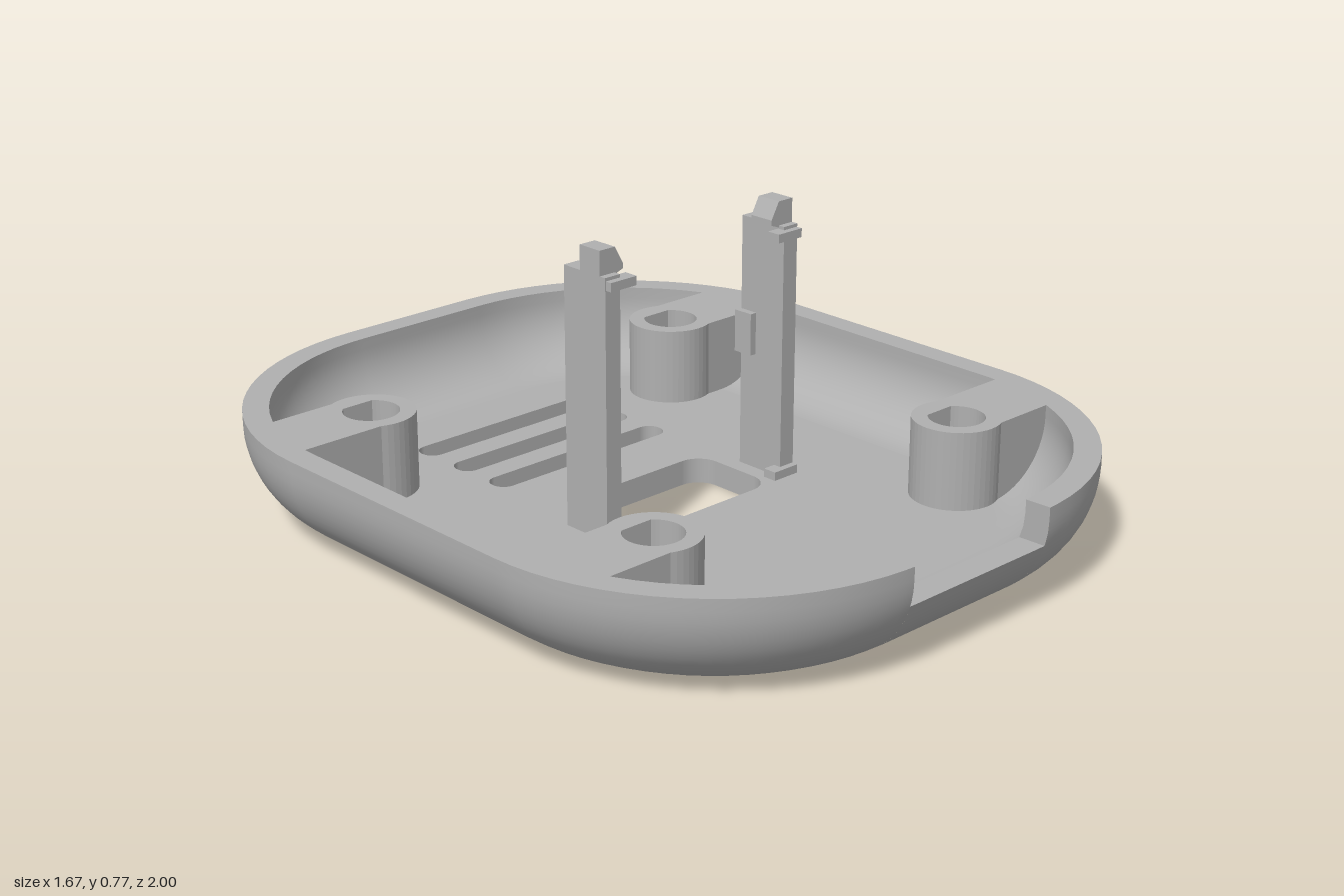
import * as THREE from 'three';
import { mergeGeometries } from 'three/addons/utils/BufferGeometryUtils.js';

// Outline: corner arc centres and radius; heights; fillet and wall sizes
const CX = 0.198, CZ = 0.365, R = 0.635;
const TOP = 0.265, FILLET = 0.235, WALL = 0.065, INNER = FILLET - WALL;
const NOTCH_Y = 0.17, NOTCH_ANGLE = 0.042;

// Surface through a grid of points, cols[i][j]
function grid(cols) {
  const n = cols[0].length, index = [];
  for (let i = 0; i < cols.length - 1; i++) {
    for (let j = 0; j < n - 1; j++) {
      const a = i * n + j, b = a + n;
      index.push(a, a + 1, b, b, a + 1, b + 1);
    }
  }
  const g = new THREE.BufferGeometry();
  g.setAttribute('position', new THREE.Float32BufferAttribute(cols.flat(2), 3));
  g.setIndex(index);
  g.computeVertexNormals();
  return g;
}

// Point on the outline at station s, moved inwards by d
const at = (s, d, y) => [
  s.x + (R - d) * Math.sin(s.t), y, s.z + (R - d) * Math.cos(s.t),
];

// Inset of the outer (r = FILLET) or inner (r = INNER) skin at height y
const inset = (r, y) => FILLET - Math.sqrt(r * r - Math.max(0, FILLET - y) ** 2);

// Wall section [inset, height] from the top edge down to the flat bottom
function section(r, top) {
  const start = top < FILLET ? Math.asin((FILLET - top) / r) : 0;
  const pts = top > FILLET ? [[FILLET - r, top]] : [];
  for (let k = 0; k <= 14; k++) {
    const a = start + (Math.PI / 2 - start) * k / 14;
    pts.push([FILLET - r * Math.cos(a), FILLET - r * Math.sin(a)]);
  }
  return pts;
}

// Inner skin, rim and outer skin along a run of stations
function wall(stations, top) {
  const outer = section(FILLET, top), inner = section(INNER, top);
  const sweep = (prof) => grid(stations.map((s) => prof.map(([d, y]) => at(s, d, y))));
  return [sweep(inner.slice().reverse()), sweep([inner[0], outer[0]]), sweep(outer)];
}

function roundRect(target, x, z, hx, hz, r) {
  target.absarc(x + hx - r, z + hz - r, r, 0, Math.PI / 2);
  target.absarc(x - hx + r, z + hz - r, r, Math.PI / 2, Math.PI);
  target.absarc(x - hx + r, z - hz + r, r, Math.PI, Math.PI * 1.5);
  target.absarc(x + hx - r, z - hz + r, r, Math.PI * 1.5, Math.PI * 2);
  target.closePath();
  return target;
}

// Extrude a shape drawn in x and z between two heights
function slab(shape, y0, y1) {
  const g = new THREE.ExtrudeGeometry(shape, { depth: y1 - y0, bevelEnabled: false, curveSegments: 18 });
  return g.rotateX(Math.PI / 2).translate(0, y1, 0);
}

export function createModel() {
  const model = new THREE.Group();
  const grey = new THREE.MeshStandardMaterial({ color: 0xb0b0b0 });
  grey.name = 'grey plastic';
  const add = (parent, name, geometry) => {
    const mesh = new THREE.Mesh(geometry, grey);
    mesh.name = name;
    parent.add(mesh);
    return mesh;
  };

  // Rounded wall, running from one side of the front notch to the other
  const stations = [];
  [[1, 1], [1, -1], [-1, -1], [-1, 1]].forEach(([sx, sz], q) => {
    for (let k = 0; k <= 18; k++) {
      const t = (q + k / 18) * Math.PI / 2;
      stations.push({
        x: sx * CX, z: sz * CZ,
        t: Math.min(Math.max(t, NOTCH_ANGLE), Math.PI * 2 - NOTCH_ANGLE),
      });
    }
  });
  const notch = [
    { x: -CX, z: CZ, t: -NOTCH_ANGLE }, { x: -CX, z: CZ, t: 0 },
    { x: CX, z: CZ, t: 0 }, { x: CX, z: CZ, t: NOTCH_ANGLE },
  ];
  const heights = [TOP, FILLET, 0.2, NOTCH_Y];
  const cheek = (s, skins) => grid(skins.map((r) => heights.map((y) => at(s, inset(r, y), y))));
  add(model, 'wall', mergeGeometries(wall(stations, TOP)));
  add(model, 'notchedFrontWall', mergeGeometries([
    ...wall(notch, NOTCH_Y),
    cheek(notch[3], [INNER, FILLET]),
    cheek(notch[0], [FILLET, INNER]),
  ]));

  // Floor with a cable opening and three vent slots
  const floor = roundRect(new THREE.Shape(), 0, 0, CX + R - FILLET, CZ + R - FILLET, R - FILLET);
  floor.holes.push(roundRect(new THREE.Path(), -0.003, 0.025, 0.225, 0.126, 0.06));
  for (const z of [-0.588, -0.447, -0.308]) {
    floor.holes.push(roundRect(new THREE.Path(), -0.003, z, 0.28, 0.036, 0.034));
  }
  add(model, 'floor', slab(floor, 0, WALL));

  // Screw bosses with D-shaped holes, joined to the wall by solid webs
  for (const sx of [1, -1]) {
    for (const sz of [1, -1]) {
      const boss = new THREE.Group();
      boss.name = 'screwBoss';
      boss.position.set(sx * 0.5, 0, sz * 0.5);
      model.add(boss);

      const a = Math.asin(0.1 / 0.11), pts = [[0.1, 0.1]];
      for (let k = 0; k <= 28; k++) {
        const t = a + (Math.PI * 2 - 2 * a) * k / 28;
        pts.push([0.11 * Math.cos(t), 0.11 * Math.sin(t)]);
      }
      pts.push([0.1, -0.1]);
      const ring = new THREE.Shape(pts.map(([x, z]) => new THREE.Vector2(sx * x, z)));
      const hole = new THREE.Path();
      hole.absarc(0, 0, 0.07, -0.904, Math.PI + 0.904);
      hole.closePath();
      ring.holes.push(hole);
      add(boss, 'bossTube', slab(ring, 0.06, TOP));

      const web = new THREE.Shape([
        [0.1, 0.06], [0.16, 0.065], [0.24, 0.115], [0.26, 0.16],
        [0.275, 0.22], [0.275, TOP], [0.1, TOP],
      ].map(([x, y]) => new THREE.Vector2(sx * x, y)));
      add(boss, 'bossWeb', new THREE.ExtrudeGeometry(web, { depth: 0.2, bevelEnabled: false })
        .translate(0, 0, -0.1));
    }
  }

  // Pair of clip posts facing each other
  for (const s of [1, -1]) {
    const post = new THREE.Group();
    post.name = 'clipPost';
    model.add(post);
    const block = (name, x0, x1, y0, y1, z0, z1) => {
      const g = new THREE.BoxGeometry(x1 - x0, y1 - y0, z1 - z0);
      add(post, name, g).position.set(s * (x0 + x1) / 2, (y0 + y1) / 2, (z0 + z1) / 2);
    };
    block('postBar', 0.265, 0.31, 0.06, 0.71, 0, 0.14);
    block('sideRib', 0.247, 0.267, 0.365, 0.472, -0.004, 0.05);
    block('upperPeg', 0.23, 0.308, 0.68, 0.702, 0.12, 0.157);
    block('lowerPeg', 0.23, 0.308, 0.07, 0.092, 0.12, 0.157);

    // Sloped snap hook on top
    const hook = new THREE.Shape([
      [0.31, 0.705], [0.31, 0.77], [0.264, 0.77], [0.24, 0.727], [0.24, 0.714], [0.265, 0.705],
    ].map(([x, y]) => new THREE.Vector2(s * x, y)));
    add(post, 'snapHook', new THREE.ExtrudeGeometry(hook, { depth: 0.067, bevelEnabled: false })
      .translate(0, 0, 0.055));
  }
  return model;
}
